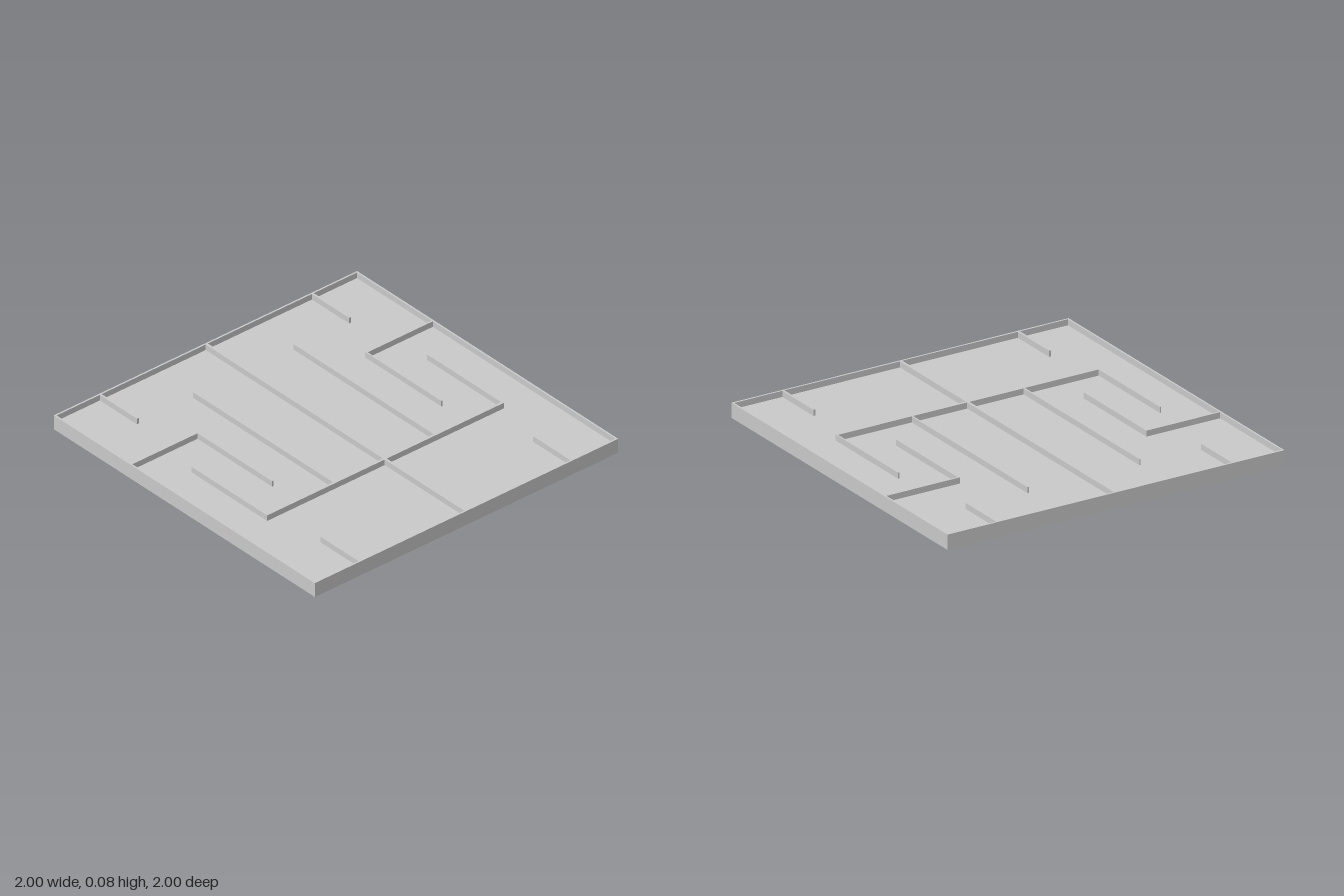
import * as THREE from 'three';

const FLOOR = 0.05, TOP = 0.083;

export function createModel() {
  const model = new THREE.Group();
  model.name = 'walledBoard';
  const material = new THREE.MeshStandardMaterial({ color: 0xcccccc, flatShading: true });

  // Box spanning x0..x1, y0..y1, z0..z1
  function block(name, x0, x1, z0, z1, y0 = FLOOR, y1 = TOP) {
    const mesh = new THREE.Mesh(new THREE.BoxGeometry(x1 - x0, y1 - y0, z1 - z0), material);
    mesh.position.set((x0 + x1) / 2, (y0 + y1) / 2, (z0 + z1) / 2);
    mesh.name = name;
    model.add(mesh);
  }
  // The same wall on the left and the right half
  function pair(name, x0, x1, z0, z1) {
    block(name + 'Left', x0, x1, z0, z1);
    block(name + 'Right', -x1, -x0, z0, z1);
  }

  const rim = 0.01;
  block('basePlate', -1, 1, -1, 1, 0, FLOOR);

  // Border walls
  pair('sideRim', 1 - rim, 1, -1, 1);
  block('frontRim', -1 + rim, 1 - rim, 1 - rim, 1);
  block('backRim', -1 + rim, 1 - rim, -1, -1 + rim);

  // Central divider and cross wall
  block('centreWall', -0.007, 0.007, -1 + rim, 1 - rim);
  pair('crossWall', 0.007, 0.781, 0.367, 0.381);

  // Walls standing on the cross wall
  pair('innerLongWall', 0.328, 0.336, -0.705, 0.367);
  pair('outerWall', 0.773, 0.781, -0.2, 0.367);

  // Hooked walls reaching in from the sides
  pair('hookArm', 0.553, 1 - rim, -0.419, -0.409);
  pair('hookWall', 0.553, 0.561, -0.409, 0.163);

  // Short stubs on the front and back rims
  pair('frontStub', 0.693, 0.705, 0.702, 1 - rim);
  pair('backStub', 0.693, 0.705, -1 + rim, -0.705);

  return model;
}
